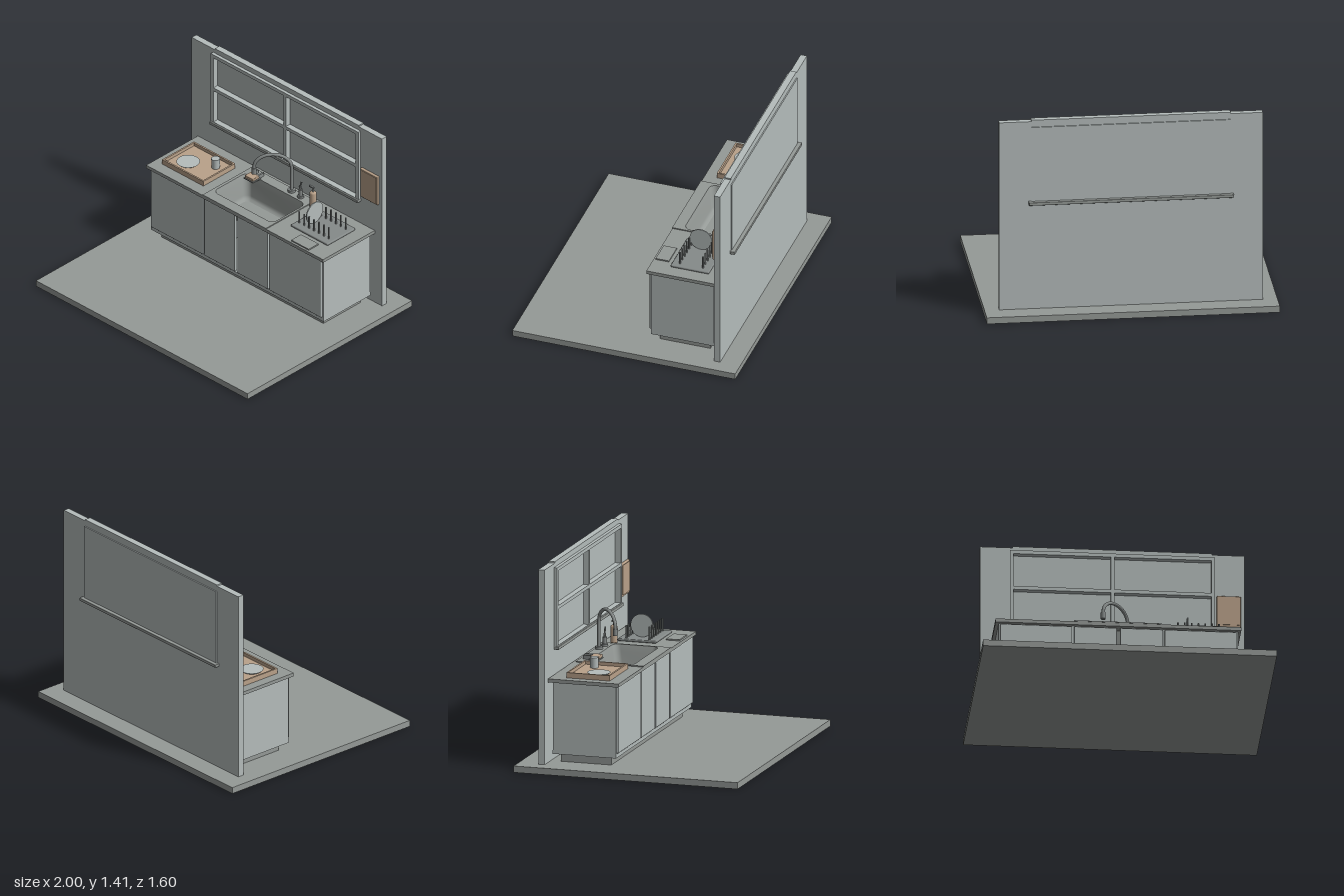
import * as THREE from 'three';
import { RoundedBoxGeometry } from 'three/addons/geometries/RoundedBoxGeometry.js';

const material = (name, color) => {
  const m = new THREE.MeshStandardMaterial({ color });
  m.name = name;
  return m;
};

export function createModel() {
  const root = new THREE.Group();
  root.name = 'kitchenSinkScene';
  const pale = material('paleGrey', 0xb5bdbc);
  const stone = material('stoneGrey', 0x959a97);
  const metal = material('metalGrey', 0x868b8a);
  const wood = material('warmWood', 0xbaa28a);
  const basinMat = material('basinGrey', 0x959a97);
  basinMat.side = THREE.DoubleSide;

  const add = (name, geometry, mat) => {
    const m = new THREE.Mesh(geometry, mat);
    m.name = name;
    root.add(m);
    return m;
  };
  // Boxes are given by their limits; a radius rounds the edges
  const box = (name, mat, x0, x1, y0, y1, z0, z1, r = 0) => {
    const s = [x1 - x0, y1 - y0, z1 - z0];
    const m = add(name, r ? new RoundedBoxGeometry(...s, 2, r) : new THREE.BoxGeometry(...s), mat);
    m.position.set((x0 + x1) / 2, (y0 + y1) / 2, (z0 + z1) / 2);
    return m;
  };
  const cyl = (name, mat, x, z, y0, y1, r0, r1 = r0, n = 24) => {
    const m = add(name, new THREE.CylinderGeometry(r1, r0, y1 - y0, n), mat);
    m.position.set(x, (y0 + y1) / 2, z);
    return m;
  };
  const tube = (name, mat, points, r, n = 32) =>
    add(name, new THREE.TubeGeometry(new THREE.CatmullRomCurve3(points), n, r, 12), mat);
  const V = (x, y, z) => new THREE.Vector3(x, y, z);

  // Floor and wall, with an opening for the window
  box('floor', stone, -1, 1, 0, 0.045, -0.8, 0.8);
  box('lowerWall', pale, -0.9, 0.9, 0.045, 0.81, -0.657, -0.612);
  for (const s of [-1, 1]) {
    box('upperWall', pale, Math.min(s * 0.68, s * 0.9), Math.max(s * 0.68, s * 0.9), 0.81, 1.4, -0.657, -0.612);
  }
  box('windowHeader', pale, -0.68, 0.68, 1.355, 1.41, -0.657, -0.612);

  // Window: pane, frame with four openings, sill
  box('windowPane', pale, -0.68, 0.68, 0.822, 1.36, -0.665, -0.63);
  const rectPath = (x0, x1, y0, y1, T = THREE.Path) => {
    const p = new T();
    p.moveTo(x0, y0); p.lineTo(x1, y0); p.lineTo(x1, y1); p.lineTo(x0, y1); p.closePath();
    return p;
  };
  const frame = rectPath(-0.698, 0.698, 0.81, 1.373, THREE.Shape);
  for (const [x0, x1] of [[-0.673, -0.012], [0.012, 0.673]]) {
    for (const [y0, y1] of [[0.828, 1.08], [1.105, 1.347]]) frame.holes.push(rectPath(x0, x1, y0, y1));
  }
  const frameMesh = add('windowFrame', new THREE.ExtrudeGeometry(frame, { depth: 0.042, bevelEnabled: false }), pale);
  frameMesh.position.z = -0.631;
  box('windowSill', stone, -0.7, 0.7, 0.802, 0.825, -0.692, -0.577, 0.004);

  // Hanging board
  box('hangingBoard', wood, 0.71, 0.875, 0.857, 1.088, -0.612, -0.592, 0.006);
  box('hangingBoardFace', wood, 0.72, 0.865, 0.872, 1.078, -0.595, -0.588);

  // Cabinet of panels, open inside so the basin hangs in it
  box('toeKick', stone, -0.765, 0.765, 0.045, 0.11, -0.54, -0.18);
  box('cabinetBase', pale, -0.815, 0.815, 0.105, 0.13, -0.585, -0.13);
  box('cabinetBack', pale, -0.8, 0.8, 0.13, 0.605, -0.585, -0.565);
  for (const x of [-0.805, -0.31, 0.31, 0.805]) {
    box('cabinetPanel', pale, x - 0.01, x + 0.01, 0.125, 0.606, -0.58, -0.13);
  }
  for (const [x0, x1] of [[-0.805, -0.315], [-0.302, -0.01], [0.01, 0.302], [0.315, 0.805]]) {
    box('door', pale, x0, x1, 0.138, 0.598, -0.135, -0.116, 0.006);
  }

  // Rounded rectangle around the sink centre; shape y is minus z
  const sinkZ = -0.345;
  const roundedPoints = (hx, hz, r, n = 6) => {
    const pts = [];
    [[1, 1], [-1, 1], [-1, -1], [1, -1]].forEach(([sx, sy], k) => {
      for (let i = 0; i <= n; i++) {
        const a = (k + i / n) * Math.PI / 2;
        pts.push(new THREE.Vector2(sx * (hx - r) + r * Math.cos(a), -sinkZ + sy * (hz - r) + r * Math.sin(a)));
      }
    });
    return pts;
  };
  const slab = (name, mat, x0, x1, z0, z1, y0, y1) => {
    const shape = rectPath(x0, x1, -z1, -z0, THREE.Shape);
    shape.holes.push(new THREE.Path(roundedPoints(0.28, 0.163, 0.045)));
    const g = new THREE.ExtrudeGeometry(shape, { depth: y1 - y0, bevelEnabled: false });
    add(name, g.rotateX(-Math.PI / 2), mat).position.y = y0;
  };
  slab('countertop', stone, -0.838, 0.835, -0.608, -0.105, 0.605, 0.63);
  slab('sinkDeck', stone, -0.302, 0.295, -0.585, -0.103, 0.63, 0.637);

  // Basin lofted through shrinking rounded rectangles
  const rings = [[0.28, 0.163, 0.045, 0.637], [0.268, 0.152, 0.045, 0.59], [0.252, 0.136, 0.045, 0.49],
    [0.244, 0.127, 0.04, 0.47], [0.225, 0.11, 0.035, 0.46]];
  const pos = [], idx = [];
  rings.forEach(([hx, hz, r, y], k) => {
    const pts = roundedPoints(hx, hz, r), n = pts.length;
    pts.forEach((p, i) => {
      pos.push(p.x, y, -p.y);
      if (!k) return;
      const a = (k - 1) * n + i, b = (k - 1) * n + (i + 1) % n;
      idx.push(a, b, a + n, b, b + n, a + n);
    });
  });
  const basin = new THREE.BufferGeometry();
  basin.setAttribute('position', new THREE.Float32BufferAttribute(pos, 3));
  // Reverse each face so the front looks into the basin
  for (let i = 0; i < idx.length; i += 3) [idx[i + 1], idx[i + 2]] = [idx[i + 2], idx[i + 1]];
  basin.setIndex(idx);
  basin.computeVertexNormals();
  const inward = basin.attributes.normal.getX(0) < 0;
  if (!inward) { basin.setIndex(idx.slice().reverse()); basin.computeVertexNormals(); }
  add('basinWalls', basin, basinMat);
  const bottom = new THREE.ShapeGeometry(new THREE.Shape(roundedPoints(0.225, 0.11, 0.035)));
  add('basinFloor', bottom.rotateX(-Math.PI / 2), basinMat).position.y = 0.46;
  cyl('drain', metal, 0, sinkZ, 0.455, 0.463, 0.03);

  // Gooseneck faucet arching forward over the basin
  const neck = [V(0.1, 0.637, -0.555), V(0.1, 0.74, -0.555)];
  for (let i = 0; i <= 10; i++) {
    const a = i / 10 * Math.PI, t = (1 - Math.cos(a)) / 2;
    neck.push(V(0.1 - 0.182 * t, 0.835 + 0.1 * Math.sin(a), -0.555 + 0.178 * t));
  }
  neck.push(V(-0.082, 0.8, -0.377));
  tube('faucetNeck', metal, neck, 0.012, 64);
  cyl('faucetBase', metal, 0.1, -0.555, 0.637, 0.655, 0.027);
  cyl('faucetSpout', metal, -0.082, -0.377, 0.782, 0.828, 0.017);

  // Tap lever
  cyl('leverBase', metal, 0.195, -0.545, 0.637, 0.652, 0.023);
  cyl('leverBody', metal, 0.195, -0.545, 0.652, 0.7, 0.014);
  cyl('leverStem', metal, 0.195, -0.545, 0.7, 0.725, 0.007);
  tube('leverHandle', metal, [V(0.185, 0.715, -0.545), V(0.197, 0.74, -0.545), V(0.205, 0.768, -0.545)], 0.006, 8);

  // Soap bottle with pump
  const profile = [[0, 0], [0.023, 0], [0.025, 0.006], [0.025, 0.11], [0.02, 0.12], [0.01, 0.124], [0, 0.124]];
  const bottle = new THREE.LatheGeometry(profile.map(p => new THREE.Vector2(...p)), 28);
  add('soapBottle', bottle, wood).position.set(0.332, 0.632, -0.525);
  cyl('pumpStem', metal, 0.332, -0.525, 0.75, 0.79, 0.007);
  box('pumpSpout', metal, 0.298, 0.34, 0.782, 0.793, -0.531, -0.519);

  // Sponge on its holder
  box('spongeHolder', metal, -0.242, -0.152, 0.637, 0.645, -0.515, -0.44);
  box('sponge', wood, -0.236, -0.158, 0.645, 0.666, -0.505, -0.442, 0.005);
  for (const x of [-0.222, -0.17]) box('holderProng', metal, x - 0.006, x + 0.006, 0.637, 0.665, -0.56, -0.5);

  // Tray with raised rim, holding a dish and a cup
  box('trayFloor', wood, -0.77, -0.38, 0.63, 0.643, -0.5, -0.19);
  for (const z of [-0.5, -0.202]) box('trayRim', wood, -0.77, -0.38, 0.63, 0.667, z, z + 0.012);
  for (const x of [-0.77, -0.392]) box('trayRim', wood, x, x + 0.012, 0.63, 0.667, -0.488, -0.202);
  cyl('dish', pale, -0.64, -0.31, 0.643, 0.655, 0.065, 0.08, 40);
  cyl('cup', pale, -0.468, -0.4, 0.643, 0.716, 0.028, 0.03);

  // Drying rack with two rows of pegs and a standing plate
  box('rackBase', metal, 0.392, 0.74, 0.63, 0.648, -0.52, -0.245, 0.007);
  for (let i = 0; i < 7; i++) {
    for (const z of [-0.465, -0.3]) cyl('rackPeg', metal, 0.42 + i * 0.0467, z, 0.646, 0.738, 0.006, 0.006, 10);
  }
  const plate = cyl('standingPlate', pale, 0.49, -0.377, 0.723, 0.731, 0.08, 0.08, 40);
  plate.rotation.z = Math.PI / 2;
  box('foldedCloth', stone, 0.52, 0.685, 0.63, 0.639, -0.215, -0.12);

  return root;
}
